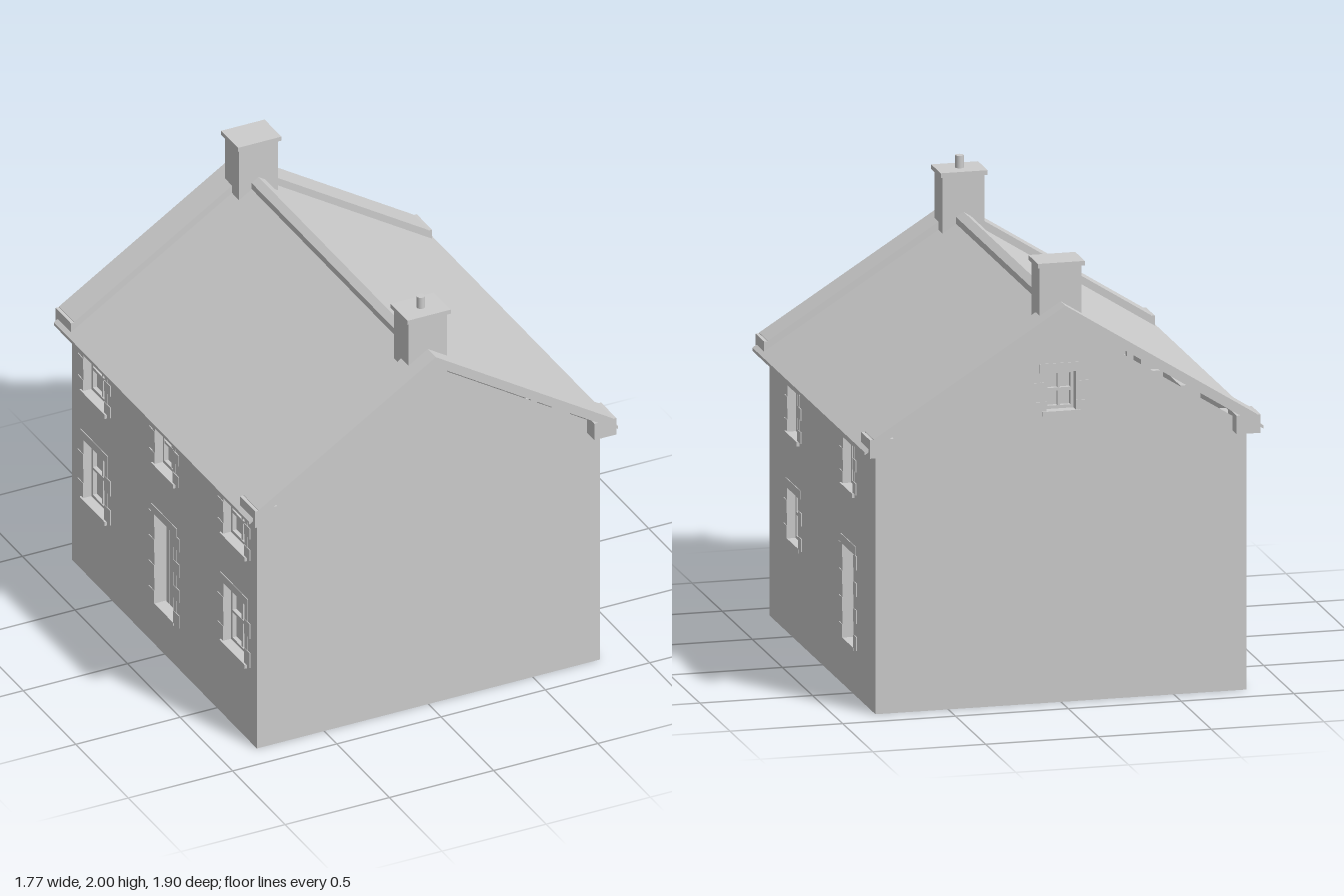
import * as THREE from 'three';

const WX = 0.823, WZ = 0.88, SLOPE = 0.63;
const stone = new THREE.MeshStandardMaterial({ color: 0xcccccc, side: THREE.DoubleSide });
stone.name = 'pale grey stone';

function add(parent, name, geometry, x = 0, y = 0, z = 0) {
  const m = new THREE.Mesh(geometry, stone);
  m.name = name;
  m.position.set(x, y, z);
  parent.add(m);
  return m;
}

// box given by its minimum and maximum corners
function block(parent, name, x0, x1, y0, y1, z0, z1) {
  return add(parent, name, new THREE.BoxGeometry(x1 - x0, y1 - y0, z1 - z0),
    (x0 + x1) / 2, (y0 + y1) / 2, (z0 + z1) / 2);
}

function polygon(points) {
  return new THREE.Shape(points.map(([x, y]) => new THREE.Vector2(x, y)));
}

// stone surround: alternating jamb blocks and a lintel, deeper than the wall
function surround(g, o) {
  const hw = o.w / 2, n = o.door ? 7 : 4, step = (o.y1 - o.y0) / n;
  for (const s of [-1, 1]) {
    for (let i = 0; i < n; i++) {
      const reach = i % 2 ? 0.025 : 0.055;
      const a = o.u + s * hw, b = o.u + s * (hw + reach);
      block(g, 'jambStone', Math.min(a, b), Math.max(a, b),
        o.y0 + i * step, o.y0 + (i + 1) * step, -0.09, i % 2 ? 0.002 : 0.004);
    }
  }
  block(g, 'lintel', o.u - hw - 0.03, o.u + hw + 0.03, o.y1, o.y1 + 0.04, -0.09, 0.003);
}

function windowUnit(g, o) {
  const hw = o.w / 2, t = 0.014, mid = (o.y0 + o.y1) / 2;
  const l = o.u - hw, r = o.u + hw;
  block(g, 'pane', l, r, o.y0, o.y1, -0.062, -0.055);
  block(g, 'frameLeft', l, l + t, o.y0, o.y1, -0.06, -0.035);
  block(g, 'frameRight', r - t, r, o.y0, o.y1, -0.06, -0.035);
  block(g, 'frameTop', l, r, o.y1 - t, o.y1, -0.06, -0.035);
  block(g, 'frameBottom', l, r, o.y0, o.y0 + t, -0.06, -0.035);
  block(g, 'mullion', o.u - 0.006, o.u + 0.006, o.y0, o.y1, -0.06, -0.038);
  block(g, 'meetingRail', l, r, mid - 0.007, mid + 0.007, -0.06, -0.036);
  const over = o.sill ? 0.02 : 0;
  block(g, 'sill', l - over, r + over, o.y0 - 0.02, o.y0, -0.09, o.sill ? 0.012 : 0.003);
}

function doorUnit(g, o) {
  const hw = o.w / 2, pw = o.w / 5;
  block(g, 'doorBack', o.u - hw, o.u + hw, o.y0, o.y1, -0.07, -0.06);
  for (let i = 0; i < 5; i++) {
    const x = o.u - hw + i * pw;
    block(g, 'doorPlank', x + 0.003, x + pw - 0.003, o.y0, o.y1 - 0.07, -0.06, -0.053);
  }
  block(g, 'doorHead', o.u - hw, o.u + hw, o.y1 - 0.07, o.y1, -0.06, -0.053);
  block(g, 'threshold', o.u - hw, o.u + hw, o.y0 - 0.015, o.y0, -0.09, 0.003);
}

// wall plane with openings, facing local +z
function wall(parent, name, outline, openings, angle, distance) {
  const g = new THREE.Group();
  g.name = name;
  const shape = polygon(outline);
  for (const o of openings) {
    const hw = o.w / 2;
    shape.holes.push(new THREE.Path([[-hw, o.y0], [-hw, o.y1], [hw, o.y1], [hw, o.y0]]
      .map(([x, y]) => new THREE.Vector2(o.u + x, y))));
    surround(g, o);
    (o.door ? doorUnit : windowUnit)(g, o);
  }
  add(g, name + 'Face', new THREE.ShapeGeometry(shape));
  g.rotation.y = angle;
  g.position.set(Math.sin(angle) * distance, 0, Math.cos(angle) * distance);
  parent.add(g);
}

// inverted V cross-section running along z
function chevron(parent, name, apex, thickness, halfWidth, z0, z1) {
  const drop = halfWidth * SLOPE;
  const geo = new THREE.ExtrudeGeometry(polygon([
    [0, apex], [-halfWidth, apex - drop], [-halfWidth, apex - drop - thickness],
    [0, apex - thickness],
    [halfWidth, apex - drop - thickness], [halfWidth, apex - drop],
  ]), { depth: z1 - z0, bevelEnabled: false });
  return add(parent, name, geo, 0, 0, z0);
}

export function createModel() {
  const house = new THREE.Group();
  house.name = 'house';

  // walls
  const gable = [[-WX, 0], [WX, 0], [WX, 1.175], [0, 1.693], [-WX, 1.175]];
  const side = [[-WZ, 0], [WZ, 0], [WZ, 1.19], [-WZ, 1.19]];
  wall(house, 'frontGable', gable, [], 0, WZ);
  wall(house, 'backGable', gable,
    [{ u: 0, w: 0.13, y0: 1.29, y1: 1.46, sill: true }], Math.PI, WZ);
  wall(house, 'leftWall', side, [
    { u: -0.485, w: 0.165, y0: 0.89, y1: 1.095, sill: true },
    { u: 0.43, w: 0.165, y0: 0.89, y1: 1.095, sill: true },
    { u: -0.485, w: 0.185, y0: 0.415, y1: 0.64 },
    { u: 0.43, w: 0.18, y0: 0.205, y1: 0.62, door: true },
  ], Math.PI / 2, WX);
  const rightOpenings = [{ u: 0, w: 0.17, y0: 0.905, y1: 1.12, sill: true },
    { u: 0, w: 0.18, y0: 0.205, y1: 0.65, door: true }];
  for (const u of [-0.665, 0.665]) {
    rightOpenings.push({ u, w: 0.2, y0: 0.905, y1: 1.12, sill: true });
    rightOpenings.push({ u, w: 0.2, y0: 0.37, y1: 0.66, sill: true });
  }
  wall(house, 'rightWall', side, rightOpenings, -Math.PI / 2, WX);

  // roof
  chevron(house, 'roof', 1.733, 0.014, 0.885, -0.93, 0.93);
  chevron(house, 'ridgeTiles', 1.765, 0.03, 0.033, -0.805, 0.805);

  // gable copings with kneeler stones at the eaves
  for (const s of [-1, 1]) {
    const z0 = s > 0 ? 0.805 : -0.95, z1 = z0 + 0.145;
    chevron(house, 'coping', 1.77, 0.048, 0.85, z0, z1);
    for (const k of [-1, 1]) {
      const a = k * 0.76, b = k * 0.866;
      block(house, 'kneeler', Math.min(a, b), Math.max(a, b), 1.15, 1.232, z0, z1);
    }
  }

  // chimneys
  for (const s of [-1, 1]) {
    const c = s * 0.806;
    block(house, 'chimneyStack', -0.093, 0.093, 1.63, 1.925, c - 0.068, c + 0.068);
    block(house, 'chimneyCap', -0.104, 0.104, 1.925, 1.945, c - 0.08, c + 0.08);
  }
  add(house, 'chimneyPot', new THREE.CylinderGeometry(0.019, 0.019, 0.057, 16), 0, 1.9715, 0.806);

  return house;
}
